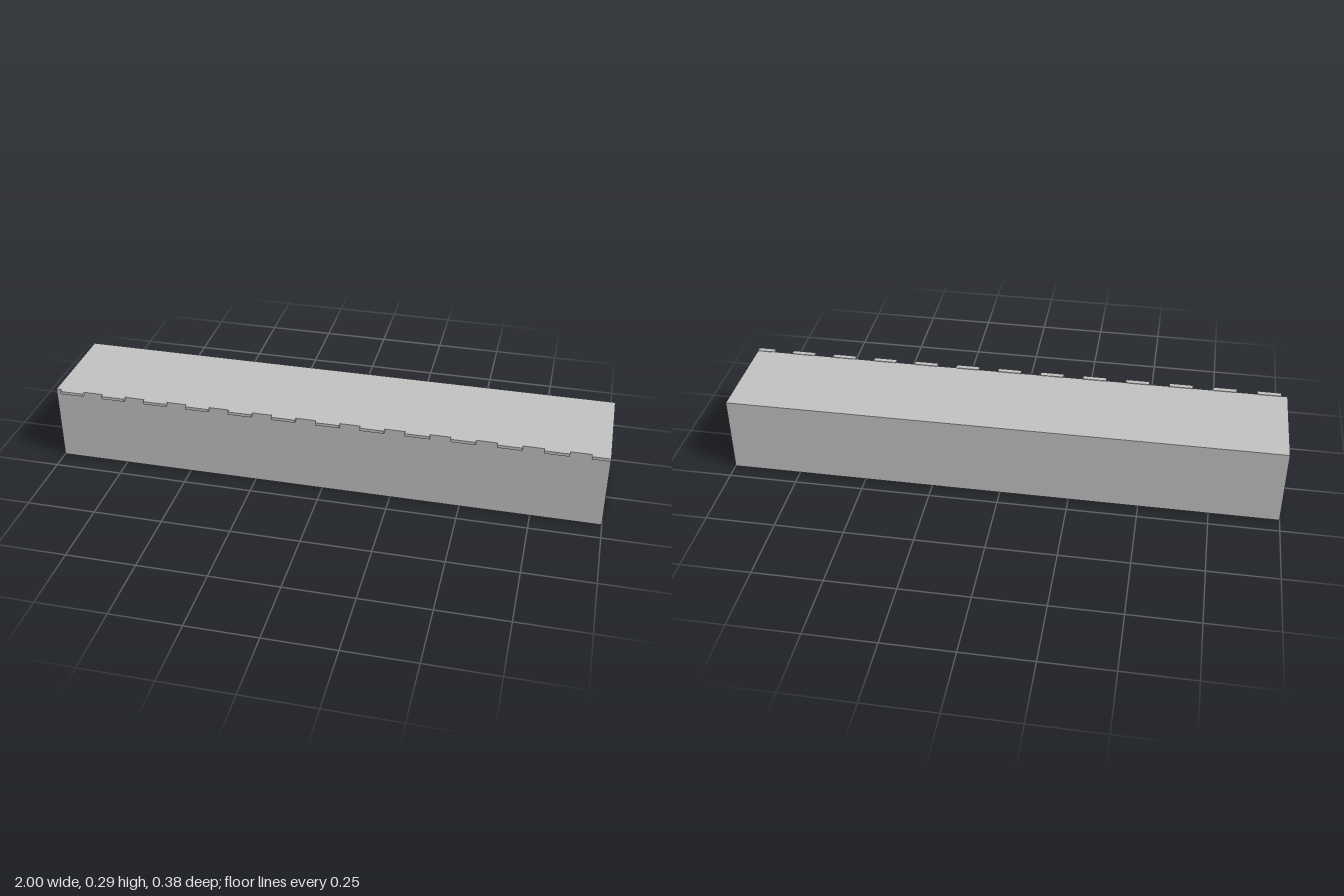
import * as THREE from 'three';

export function createModel() {
  const model = new THREE.Group();
  const grey = new THREE.MeshStandardMaterial({ color: 0xc0c0c0 });
  grey.name = 'light grey';

  // Box spanning the given min and max on each axis
  function block(name, [x0, x1], [y0, y1], [z0, z1]) {
    const mesh = new THREE.Mesh(new THREE.BoxGeometry(x1 - x0, y1 - y0, z1 - z0), grey);
    mesh.position.set((x0 + x1) / 2, (y0 + y1) / 2, (z0 + z1) / 2);
    mesh.name = name;
    return mesh;
  }

  // Long solid body
  model.add(block('body', [-1, 1], [0, 0.284], [-0.19, 0.173]));

  // Row of small teeth along the top front edge; the last one is cut off by the end
  const teeth = new THREE.Group();
  teeth.name = 'edgeTeeth';
  const pitch = 0.1595, width = 0.087, start = -0.978;
  for (let i = 0; i < 13; i++) {
    const x = start + i * pitch;
    teeth.add(block('tooth', [x, Math.min(x + width, 1)], [0.275, 0.286], [0.17, 0.19]));
  }
  model.add(teeth);

  return model;
}
